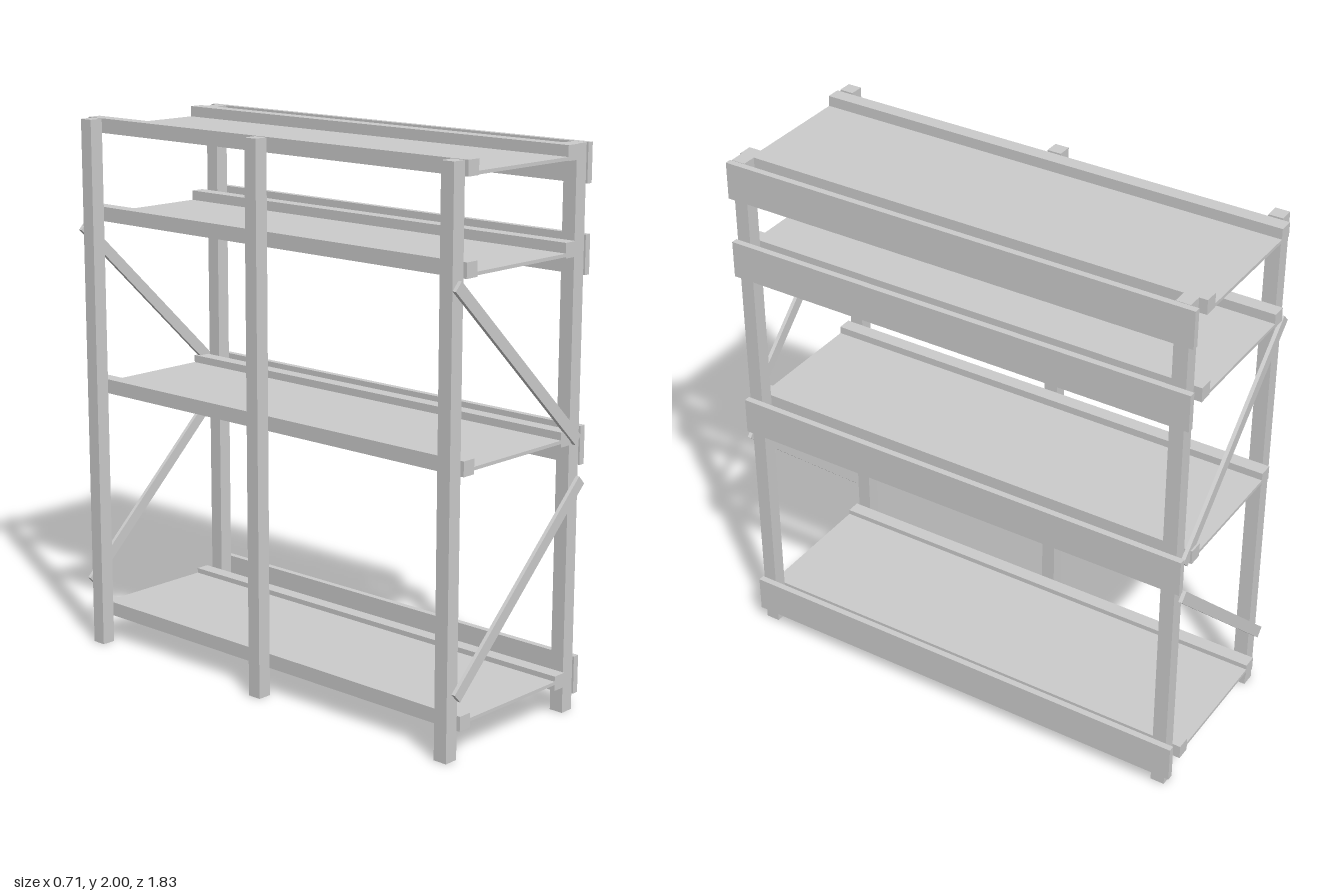
import * as THREE from 'three';

const material = new THREE.MeshStandardMaterial({ color: 0xcccccc, flatShading: true });

// Box given by its extents along each axis
function block(name, [x0, x1], [y0, y1], [z0, z1]) {
  const mesh = new THREE.Mesh(new THREE.BoxGeometry(x1 - x0, y1 - y0, z1 - z0), material);
  mesh.name = name;
  mesh.position.set((x0 + x1) / 2, (y0 + y1) / 2, (z0 + z1) / 2);
  return mesh;
}

// Flat diagonal bar between two points in a plane of constant z
function brace(name, [ax, ay], [bx, by], z) {
  const length = Math.hypot(bx - ax, by - ay);
  const mesh = new THREE.Mesh(new THREE.BoxGeometry(length, 0.042, 0.014), material);
  mesh.name = name;
  mesh.position.set((ax + bx) / 2, (ay + by) / 2, z);
  mesh.rotation.z = Math.atan2(by - ay, bx - ax);
  return mesh;
}

export function createModel() {
  const group = new THREE.Group();
  group.name = 'shelvingRack';

  // Posts: three on the open side, two on the boarded side
  const post = 0.053;
  for (const z of [0.851, -0.018, -0.857]) {
    const zRange = [z - post / 2, z + post / 2];
    group.add(block('openSidePost', [-0.355, -0.302], [0, 2], zRange));
    if (Math.abs(z) > 0.5) group.add(block('boardedSidePost', [0.276, 0.329], [0, 2], zRange));
  }

  // Each level: two rails, a thin shelf between them and an outer side board
  const span = [-0.914, 0.883];
  const levels = [
    { rail: 0.098, shelf: 0.12, board: 0.058 },
    { rail: 0.974, shelf: 0.987, board: 0.892 },
    { rail: 1.623, shelf: 1.628, board: 1.553 },
    { rail: 1.947, shelf: 1.949, board: 1.862 },
  ];
  for (const { rail, shelf, board } of levels) {
    const level = new THREE.Group();
    level.name = 'shelfLevel';
    const railY = [rail, rail + 0.053];
    level.add(
      block('openSideRail', [-0.292, -0.239], railY, span),
      block('boardedSideRail', [0.223, 0.276], railY, span),
      block('shelf', [-0.239, 0.223], [shelf, shelf + 0.012], span),
      block('sideBoard', [0.331, 0.355], [board, board + 0.138], span),
    );
    group.add(level);
  }

  // Diagonal braces on both ends
  for (const [end, upperZ, lowerZ] of [['front', 0.887, 0.906], ['back', -0.9, -0.902]]) {
    group.add(
      brace(end + 'UpperBrace', [-0.343, 1.607], [0.306, 0.987], upperZ),
      brace(end + 'LowerBrace', [-0.343, 0.236], [0.306, 0.85], lowerZ),
    );
  }

  return group;
}
